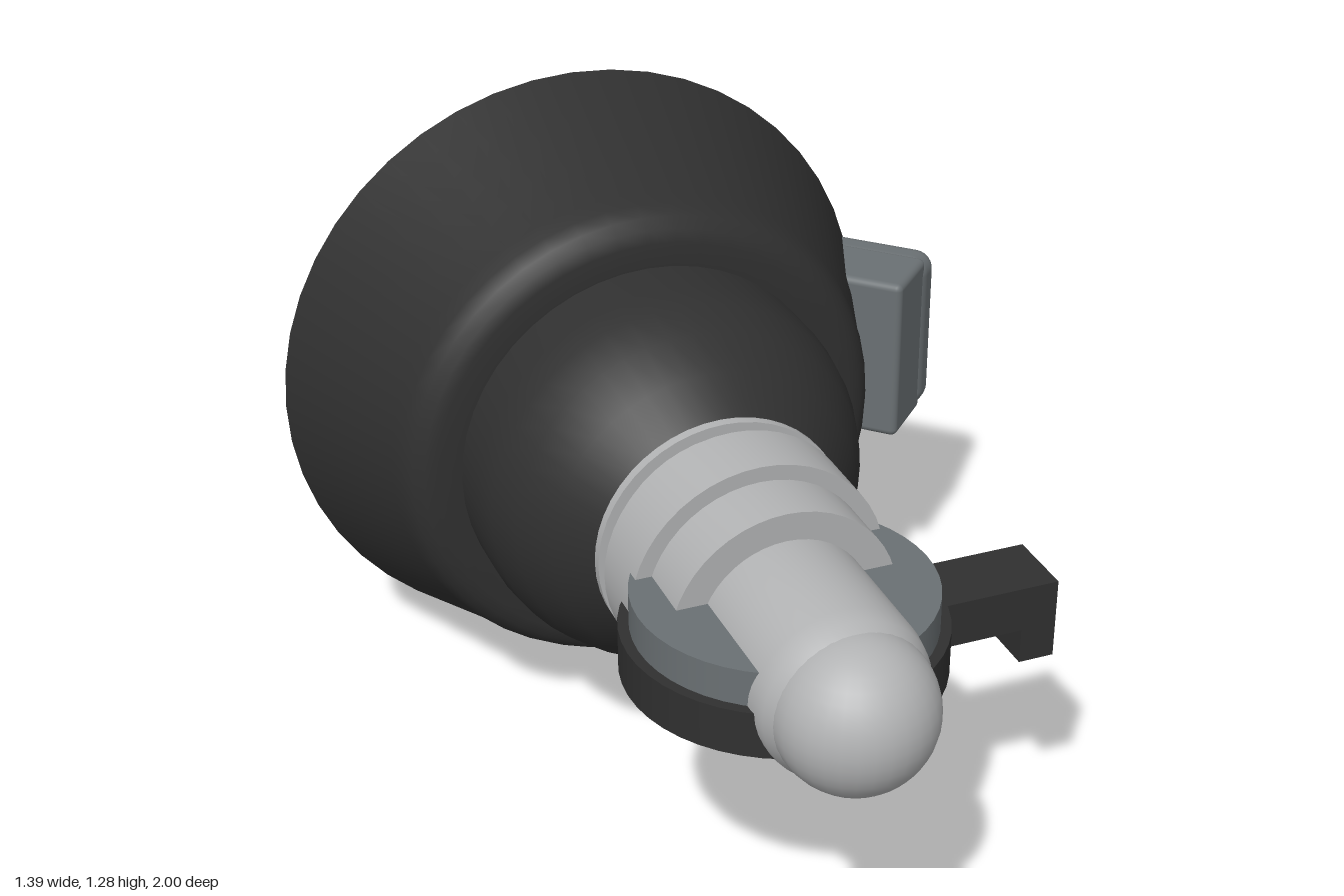
import * as THREE from 'three';
import { toCreasedNormals } from 'three/addons/utils/BufferGeometryUtils.js';
import { RoundedBoxGeometry } from 'three/addons/geometries/RoundedBoxGeometry.js';

const material = (name, color) => Object.assign(new THREE.MeshStandardMaterial({ color }), { name });

export function createModel() {
  const black = material('black rubber', 0x303030);
  const silver = material('silver', 0xb2b3b4);
  const grey = material('slate grey', 0x6a7073);
  const dark = material('dark hole', 0x161616);

  const model = new THREE.Group();
  model.name = 'device';
  const axis = new THREE.Group();
  axis.name = 'barrelAssembly';
  axis.position.set(-0.07, 0.64, 0);
  model.add(axis);

  const add = (parent, name, geometry, mat, x = 0, y = 0, z = 0) => {
    const mesh = new THREE.Mesh(geometry, mat);
    mesh.name = name;
    mesh.position.set(x, y, z);
    parent.add(mesh);
    return mesh;
  };

  // Turned part along z; profile is [radius, z] from back to front
  const turned = (name, profile, mat, segments = 48) => {
    const geometry = new THREE.LatheGeometry(profile.map(([r, z]) => new THREE.Vector2(r, z)), segments);
    geometry.rotateX(Math.PI / 2);
    return add(axis, name, toCreasedNormals(geometry, 0.45), mat);
  };

  // Main barrel with rounded back cap and domed shoulder
  turned('barrel', [
    [0, -1], [0.355, -1], [0.375, -0.995], [0.387, -0.983], [0.391, -0.965], [0.391, -0.03],
    [0.382, 0.03], [0.356, 0.1], [0.31, 0.175], [0.25, 0.245], [0, 0.25],
  ], black);
  turned('rearBand', [[0.38, -0.965], [0.398, -0.965], [0.398, -0.873], [0.38, -0.873]], silver);

  // Flared collar with a flat back
  turned('flaredCollar', [
    [0.385, -0.56], [0.638, -0.56], [0.508, -0.22], [0.5, -0.185], [0.485, -0.155],
    [0.465, -0.138], [0.44, -0.13], [0.385, -0.13],
  ], black);

  // Stepped nozzle and ball tip
  turned('steppedNozzle', [
    [0.2, 0.24], [0.25, 0.24], [0.25, 0.265], [0.228, 0.265], [0.228, 0.298], [0.25, 0.298],
    [0.25, 0.435], [0.22, 0.435], [0.22, 0.555], [0.165, 0.555], [0.164, 0.79],
    [0.158, 0.825], [0.145, 0.85], [0, 0.85],
  ], silver);
  add(axis, 'ballTip', new THREE.SphereGeometry(0.148, 32, 20), silver, 0, 0, 0.852);

  // Horizontal two-layer disc around the nozzle
  add(axis, 'upperDisc', new THREE.CylinderGeometry(0.278, 0.278, 0.07, 48), grey, 0, 0.035, 0.55);
  add(axis, 'lowerDisc', new THREE.CylinderGeometry(0.298, 0.298, 0.09, 48), black, 0, -0.045, 0.55);

  // Side lever with a downturned end
  add(model, 'leverArm', new THREE.BoxGeometry(0.3, 0.09, 0.14), black, 0.295, 0.595, 0.55);
  add(model, 'leverTab', new THREE.BoxGeometry(0.07, 0.16, 0.14), black, 0.41, 0.56, 0.55);

  // Angled control box; its local +z faces outward and backward
  const box = new THREE.Group();
  box.name = 'controlBox';
  box.position.set(0.572, 0.642, -0.548);
  box.rotation.y = Math.PI * 0.75;
  model.add(box);
  add(box, 'boxCover', new RoundedBoxGeometry(0.37, 0.36, 0.1, 4, 0.04), grey, 0, 0, -0.05);
  add(box, 'boxBase', new RoundedBoxGeometry(0.36, 0.36, 0.16, 3, 0.015), grey, 0, 0, -0.14);
  for (const y of [-0.088, 0.088]) {
    const hole = add(box, 'screwHole', new THREE.CylinderGeometry(0.011, 0.011, 0.004, 16), dark, 0, y, 0.001);
    hole.rotation.x = Math.PI / 2;
  }
  add(box, 'centreSlot', new THREE.BoxGeometry(0.006, 0.035, 0.004), dark, 0, 0, 0.001);

  return model;
}
